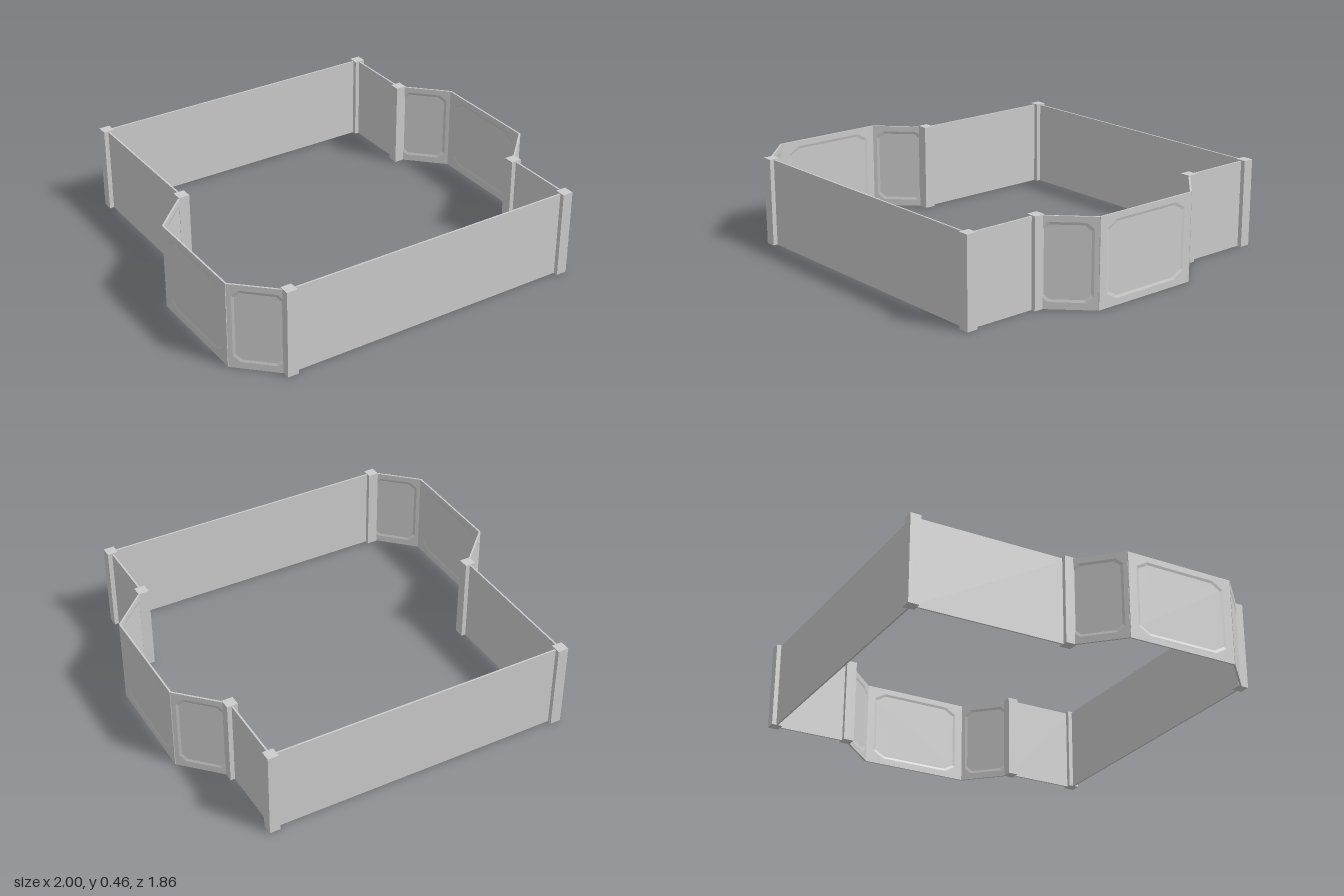
import * as THREE from 'three';

const H = 0.45, T = 0.009;
const mat = new THREE.MeshStandardMaterial({ color: 0xcccccc, flatShading: true, side: THREE.DoubleSide });

// Place a part along the ground line a -> b, its local x running along the line
function alongLine(obj, a, b) {
  obj.position.set((a[0] + b[0]) / 2, 0, (a[1] + b[1]) / 2);
  obj.rotation.y = -Math.atan2(b[1] - a[1], b[0] - a[0]);
  return obj;
}
const lineLength = (a, b) => Math.hypot(b[0] - a[0], b[1] - a[1]);

function wall(name, a, b) {
  const geo = new THREE.BoxGeometry(lineLength(a, b), H, T).translate(0, H / 2, 0);
  const mesh = new THREE.Mesh(geo, mat);
  mesh.name = name;
  return alongLine(mesh, a, b);
}

function post(x, z) {
  const mesh = new THREE.Mesh(new THREE.BoxGeometry(0.056, 0.455, 0.056), mat);
  mesh.position.set(x, 0.2275, z);
  mesh.name = 'post';
  return mesh;
}

// Rectangle with cut corners, as a list of points
function octagon(w, y0, y1, cutX, cutY) {
  const h = w / 2;
  return [
    [-h + cutX, y0], [h - cutX, y0], [h, y0 + cutY], [h, y1 - cutY],
    [h - cutX, y1], [-h + cutX, y1], [-h, y1 - cutY], [-h, y0 + cutY],
  ].map(([x, y]) => new THREE.Vector2(x, y));
}

// Sloping rim joining two outlines at different depths
function rimGeometry(outer, zOuter, inner, zInner) {
  const pos = [], idx = [], n = outer.length;
  for (let i = 0; i < n; i++) {
    pos.push(outer[i].x, outer[i].y, zOuter, inner[i].x, inner[i].y, zInner);
    const a = 2 * i, b = 2 * ((i + 1) % n);
    idx.push(a, b, b + 1, a, b + 1, a + 1);
  }
  const geo = new THREE.BufferGeometry();
  geo.setAttribute('position', new THREE.Float32BufferAttribute(pos, 3));
  geo.setIndex(idx);
  geo.computeVertexNormals();
  return geo;
}

// Bay panel: frame with an octagonal opening, sloping rims and a thin pane
function bayPanel(a, b, margin, cutX, cutY) {
  const group = new THREE.Group();
  group.name = 'bayPanel';
  const w = lineLength(a, b), rim = 0.013;
  const outer = octagon(w - 2 * margin, 0.035, 0.42, cutX, cutY);
  const inner = octagon(w - 2 * margin - 2 * rim, 0.035 + rim, 0.42 - rim, cutX * 0.9, cutY * 0.9);
  const shape = new THREE.Shape([[-w / 2, 0], [w / 2, 0], [w / 2, H], [-w / 2, H]].map(p => new THREE.Vector2(...p)));
  shape.holes.push(new THREE.Path(outer));
  const add = (name, geo) => {
    const mesh = new THREE.Mesh(geo, mat);
    mesh.name = name;
    group.add(mesh);
  };
  add('bayFrame', new THREE.ExtrudeGeometry(shape, { depth: T, bevelEnabled: false }).translate(0, 0, -T / 2));
  for (const s of [-1, 1]) add('bayRim', rimGeometry(outer, s * T / 2, inner, s * 0.001));
  add('bayPane', new THREE.ExtrudeGeometry(new THREE.Shape(inner), { depth: 0.002, bevelEnabled: false }).translate(0, 0, -0.001));
  return alongLine(group, a, b);
}

function bay(name, points) {
  const group = new THREE.Group();
  group.name = name;
  group.add(
    bayPanel(points[0], points[1], 0.022, 0.035, 0.03),
    bayPanel(points[1], points[2], 0.045, 0.06, 0.035),
    bayPanel(points[2], points[3], 0.022, 0.035, 0.03),
  );
  return group;
}

export function createModel() {
  const model = new THREE.Group();
  model.name = 'wallEnclosure';
  const X = 0.785, Z = 0.9;

  // Straight walls
  model.add(
    wall('backWall', [-X, -Z], [X, -Z]),
    wall('frontWall', [-X, Z], [X, Z]),
    wall('rightSideWall', [-X, -Z], [-X, -0.087]),
    wall('leftSideWallBack', [X, -Z], [X, -0.495]),
    wall('leftSideWallFront', [X, 0.505], [X, Z]),
  );

  // Posts at corners and bay joints
  for (const [x, z] of [[-X, -Z], [X, -Z], [-X, Z], [X, Z], [X, -0.495], [X, 0.505], [-X, -0.087]]) {
    model.add(post(x, z));
  }

  // Projecting bays
  model.add(
    bay('leftBay', [[X, -0.497], [0.991, -0.29], [0.991, 0.302], [X, 0.507]]),
    bay('rightBay', [[-X, 0.91], [-0.995, 0.708], [-0.995, 0.118], [-X, -0.09]]),
  );
  return model;
}
